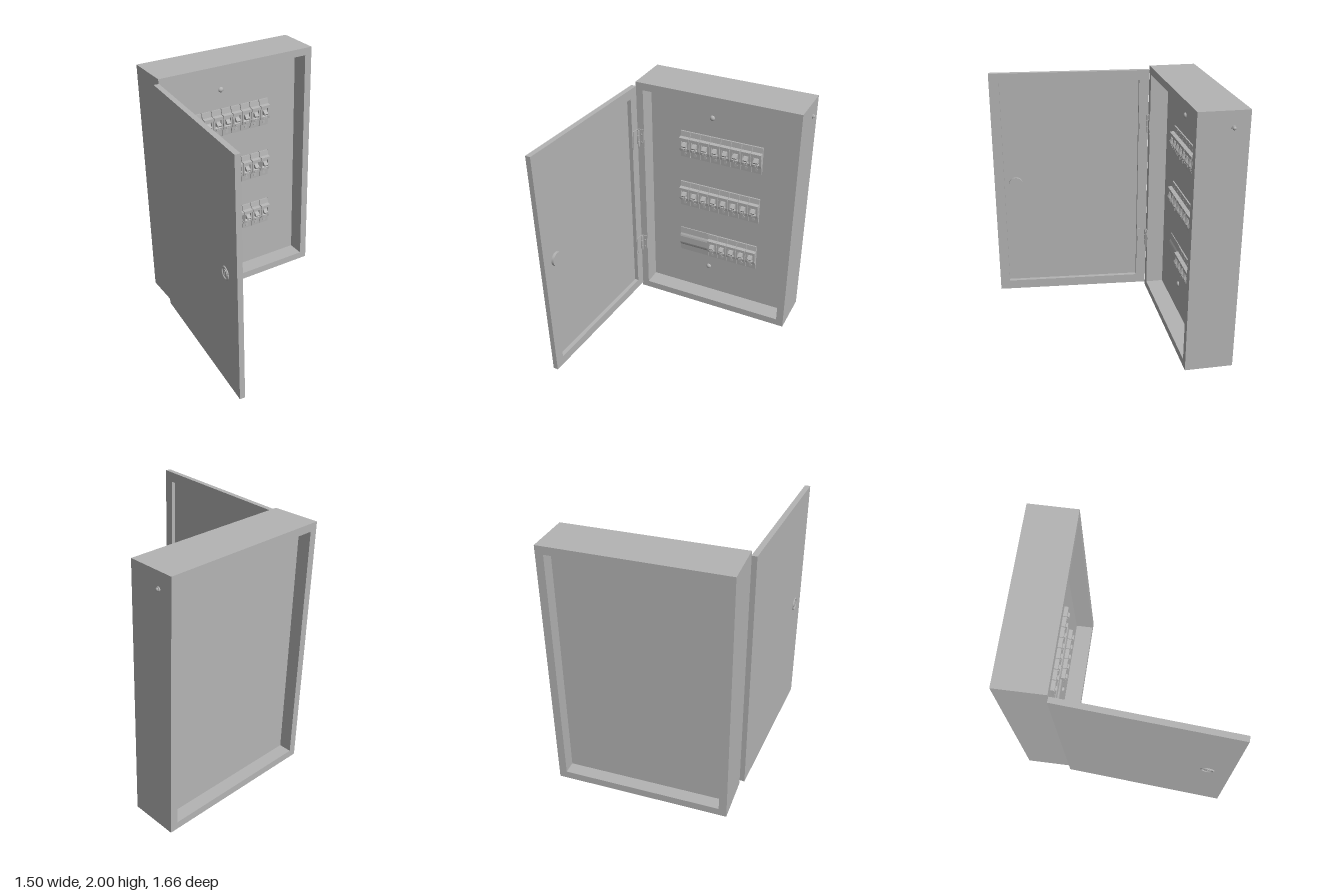
import * as THREE from 'three';

export function createModel() {
  const model = new THREE.Group();
  const grey = new THREE.MeshStandardMaterial({ color: 0xb4b4b4 });
  grey.name = 'painted grey';

  const add = (parent, name, geo, x = 0, y = 0, z = 0) => {
    const m = new THREE.Mesh(geo, grey);
    m.name = name;
    m.position.set(x, y, z);
    parent.add(m);
    return m;
  };
  const box = (parent, name, x0, x1, y0, y1, z0, z1) =>
    add(parent, name, new THREE.BoxGeometry(x1 - x0, y1 - y0, z1 - z0),
      (x0 + x1) / 2, (y0 + y1) / 2, (z0 + z1) / 2);
  const rect = (T, x0, x1, y0, y1) => new T([[x0, y0], [x1, y0], [x1, y1], [x0, y1]]
    .map(p => new THREE.Vector2(...p)));
  // Rectangle with rectangular holes, extruded along z
  const sheet = (outer, holes, depth) => {
    const s = rect(THREE.Shape, ...outer);
    holes.forEach(h => s.holes.push(rect(THREE.Path, ...h)));
    return new THREE.ExtrudeGeometry(s, { depth, bevelEnabled: false });
  };
  // Side profile of [z, y] points, extruded across x and centred on it
  const sideProfile = (points, width) => {
    const s = new THREE.Shape(points.map(p => new THREE.Vector2(...p)));
    return new THREE.ExtrudeGeometry(s, { depth: width, bevelEnabled: false })
      .rotateY(-Math.PI / 2).translate(width / 2, 0, 0);
  };
  // Domed screw head pointing along +z
  const dome = (r, h) => new THREE.SphereGeometry(r, 20, 8, 0, Math.PI * 2, 0, Math.PI / 2)
    .rotateX(Math.PI / 2).scale(1, 1, h / r);

  // Cabinet shell, open at front and back
  const cabinet = new THREE.Group();
  cabinet.name = 'cabinet';
  model.add(cabinet);
  add(cabinet, 'cabinetShell',
    sheet([-0.62, 0.73, 0, 2], [[-0.56, 0.67, 0.06, 1.94]], 0.37), 0, 0, -0.83);
  box(cabinet, 'backPlate', -0.56, 0.67, 0.06, 1.94, -0.73, -0.72);

  // Recessed front panel with three breaker windows
  const panelZ = -0.605;
  const rows = [1.473, 1.005, 0.537];
  add(cabinet, 'frontPanel', sheet([-0.56, 0.67, 0.06, 1.94],
    rows.map(y => [-0.3, 0.405, y - 0.118, y + 0.118]), 0.012), 0, 0, panelZ - 0.012);
  for (const y of [1.75, 0.31]) add(cabinet, 'panelScrew', dome(0.022, 0.018), -0.03, y, panelZ);

  // Circuit breakers
  const pitch = 0.705 / 8;
  const body = sideProfile([[-0.05, -0.115], [0.008, -0.115], [0.012, -0.058], [0.032, -0.052],
    [0.036, -0.03], [0.022, -0.02], [0.022, 0.035], [0.046, 0.045], [0.046, 0.068],
    [0.014, 0.072], [0.008, 0.115], [-0.05, 0.115]], pitch - 0.005);
  const handle = sideProfile([[0.01, -0.018], [0.05, -0.02], [0.056, -0.008],
    [0.034, 0.016], [0.01, 0.018]], 0.036);
  const cheek = new THREE.BoxGeometry(0.014, 0.07, 0.018);
  const terminal = new THREE.CylinderGeometry(0.014, 0.014, 0.006, 14).rotateX(Math.PI / 2);
  const label = new THREE.BoxGeometry(0.036, 0.01, 0.006);
  rows.forEach((y, r) => {
    for (let i = r === 2 ? 3 : 0; i < 8; i++) {
      const b = new THREE.Group();
      b.name = 'breaker';
      b.position.set(-0.3 + pitch * (i + 0.5), y, panelZ);
      cabinet.add(b);
      add(b, 'breakerBody', body);
      add(b, 'breakerHandle', handle, 0, 0.008, 0);
      for (const s of [-1, 1]) add(b, 'handleCheek', cheek, s * 0.034, 0.005, 0.028);
      add(b, 'breakerLabel', label, 0, -0.042, 0.035);
      add(b, 'terminalScrew', terminal, 0, -0.084, 0.011);
    }
    box(cabinet, 'windowBacking', -0.3, 0.405, y - 0.118, y + 0.118, -0.665, -0.65);
  });
  // Blank cover beside the short row
  add(cabinet, 'blankCover', sideProfile([[-0.05, -0.115], [0.004, -0.115], [0.008, -0.06],
    [0.016, -0.045], [0.02, -0.03], [0.02, 0.03], [0.016, 0.045], [0.008, 0.06],
    [0.004, 0.115], [-0.05, 0.115]], pitch * 3 - 0.004), -0.3 + pitch * 1.5, rows[2], panelZ);

  // Earthing stud on the side
  const stud = new THREE.Group();
  stud.name = 'sideStud';
  stud.position.set(0.73, 1.88, -0.715);
  stud.rotation.y = Math.PI / 2;
  cabinet.add(stud);
  add(stud, 'studWasher', new THREE.CylinderGeometry(0.017, 0.017, 0.01, 20).rotateX(Math.PI / 2), 0, 0, 0.004);
  add(stud, 'studHead', dome(0.013, 0.011), 0, 0, 0.009);

  // Open door: skin with a raised rim on the inside
  const door = new THREE.Group();
  door.name = 'door';
  door.position.set(-0.617, 0, -0.458);
  door.rotation.y = -0.073;
  model.add(door);
  const rim = sheet([0, 1.288, 0.03, 1.965], [[0.08, 1.208, 0.108, 1.886]], 0.034).rotateY(-Math.PI / 2);
  add(door, 'doorRim', rim);
  box(door, 'doorSkin', -0.041, -0.034, 0.03, 1.965, 0, 1.288);

  // Round lock, visible on both faces of the door
  const disc = (r, h) => new THREE.CylinderGeometry(r, r, h, 32).rotateZ(Math.PI / 2);
  add(door, 'lockNut', disc(0.058, 0.022), -0.024, 1.015, 1.112);
  add(door, 'lockRing', new THREE.TorusGeometry(0.045, 0.007, 8, 32).rotateY(Math.PI / 2), -0.042, 1.015, 1.112);
  add(door, 'lockBarrel', disc(0.028, 0.008), -0.043, 1.015, 1.112);
  box(door, 'keySlot', -0.05, -0.046, 1.0, 1.03, 1.108, 1.116);

  // Hinges: a leaf on the cabinet, a leaf on the door and a segmented barrel
  for (const y of [1.52, 0.485]) {
    const hinge = new THREE.Group();
    hinge.name = 'hinge';
    hinge.position.set(-0.606, y, -0.451);
    model.add(hinge);
    box(hinge, 'cabinetLeaf', 0, 0.044, -0.08, 0.08, -0.009, -0.003);
    for (const s of [-1, 0, 1]) {
      add(hinge, 'hingeKnuckle', new THREE.CylinderGeometry(0.009, 0.009, 0.046, 14), 0, s * 0.05, 0);
    }
    for (const s of [-1, 1]) {
      add(hinge, 'leafScrew', dome(0.008, 0.004), 0.025, s * 0.035, -0.003);
    }
    box(door, 'doorLeaf', 0, 0.005, y - 0.08, y + 0.08, 0.004, 0.07);
  }
  return model;
}
